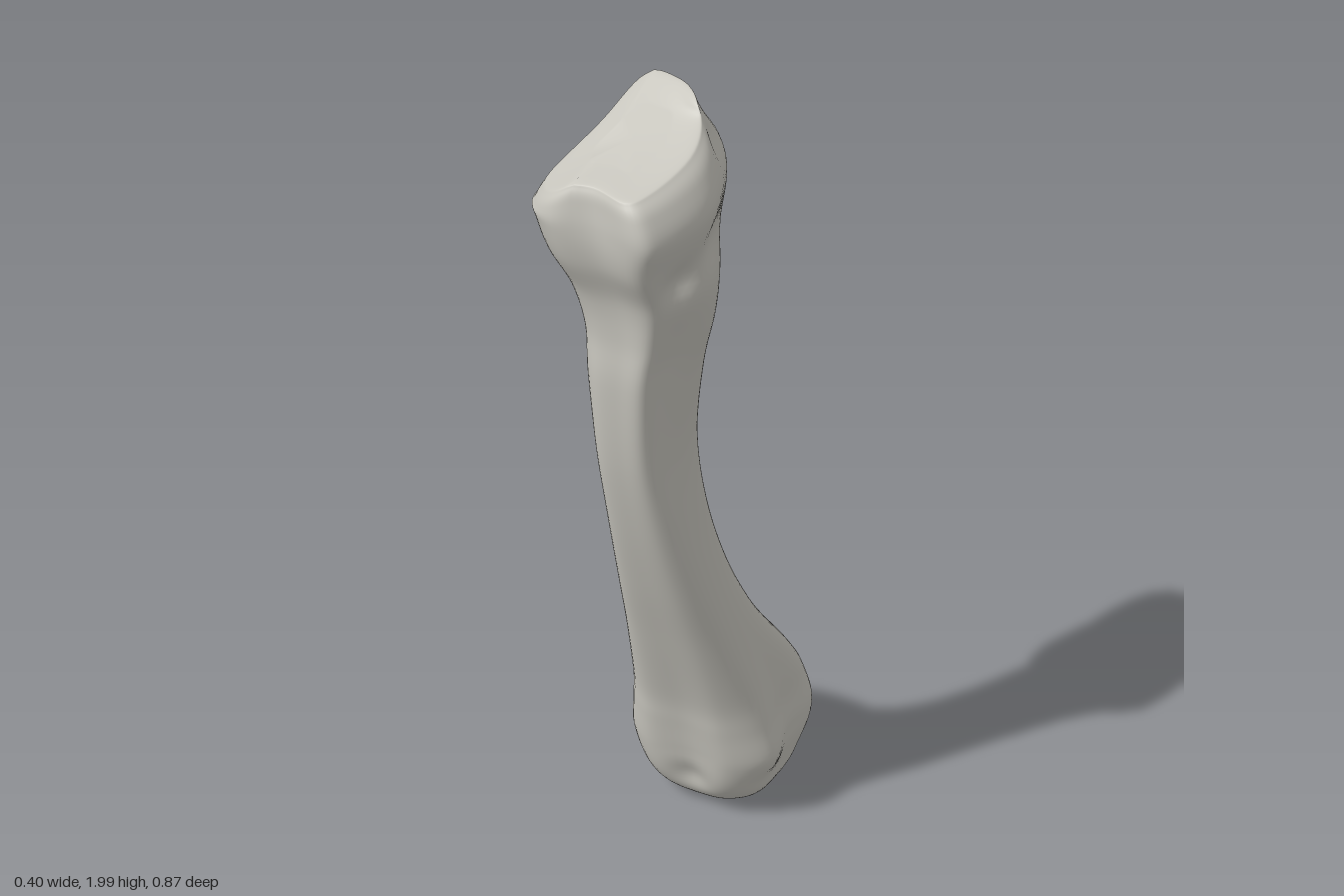
import * as THREE from 'three';

// Cross-section outlines as [x, z], starting at the front and passing the left side
const OUTLINES = [
  // rounded end of the condyle
  [[0, 1], [.5, .92], [.86, .58], [1, 0], [.93, -.5], [.6, -.85], [0, -1], [-.6, -.92], [-.93, -.57], [-1, 0], [-.9, .55], [-.5, .92]],
  // boxy condyle with side tubercles
  [[0, .95], [.55, .98], [1, .62], [.89, .05], [.92, -.52], [.66, -.86], [-.05, -1], [-.68, -.95], [-.98, -.64], [-.93, .05], [-1, .58], [-.58, .98]],
  // middle of the shaft, with a flat front
  [[0, 1], [.57, .92], [.91, .53], [1, -.05], [.87, -.6], [.5, -.89], [0, -1], [-.52, -.92], [-.9, -.55], [-1, 0], [-.92, .6], [-.58, .95]],
  // upper shaft, ridged at the front left
  [[0, .99], [.48, .97], [.7, .5], [.96, -.05], [.92, -.6], [.58, -.93], [.05, -1], [-.5, -.93], [-.86, -.5], [-1, .1], [-.92, .62], [-.55, .95]],
  // head
  [[.05, .88], [.62, 1], [.84, .75], [1, .05], [.84, -.55], [.62, -.94], [.15, -1], [-.45, -.96], [-.7, -.4], [-1, .25], [-.87, .65], [-.48, .92]],
];

// Rows up the bone: y, right x, left x, back z, front z, outline number, slope along z
const ROWS = [
  [0, -.07, .03, -.26, -.19, 0, 0],
  [.015, -.135, .085, -.32, -.14, 0, 0],
  [.05, -.172, .122, -.365, -.1, .2, 0],
  [.11, -.187, .148, -.405, -.065, .6, 0],
  [.2, -.2, .178, -.432, -.04, 1, 0],
  [.3, -.184, .165, -.41, -.015, 1.2, 0],
  [.4, -.167, .154, -.345, .012, 1.5, 0],
  [.6, -.134, .134, -.18, .09, 1.9, 0],
  [.8, -.106, .115, -.06, .17, 2, 0],
  [1, -.087, .102, .02, .24, 2.1, 0],
  [1.2, -.08, .102, .07, .295, 2.5, 0],
  [1.4, -.08, .128, .09, .33, 2.9, 0],
  [1.52, -.083, .157, .095, .338, 3.1, 0],
  [1.62, -.108, .175, .087, .36, 3.5, 0],
  [1.72, -.145, .18, .068, .408, 3.8, -.03],
  [1.82, -.165, .197, .054, .433, 4, -.12],
  [1.9, -.16, .178, .054, .433, 4, -.23],
  [1.936, -.145, .155, .06, .424, 4, -.28],
  [1.945, -.122, .138, .076, .408, 4, -.29],
  [1.945, -.05, .08, .15, .33, 4, -.29],
];

// Local hollows and swellings: centre, push vector, radius
const DENTS = [
  { at: [.18, 1.67, .31], push: [-.025, 0, -.01], r: .045 }, // side pit below the head
  { at: [.19, 1.72, .2], push: [-.012, 0, 0], r: .06 },
  { at: [.11, 1.98, .07], push: [0, 0, .055], r: .06 },      // notch behind the joint face
  { at: [.16, 1.92, .11], push: [-.015, 0, .015], r: .05 },
  { at: [.02, 1.84, .43], push: [0, 0, -.006], r: .06 },     // hollow on the front of the head
  { at: [-.02, .11, -.06], push: [0, 0, -.018], r: .045 },   // hollow above the condyle
  { at: [.15, .13, -.13], push: [-.01, 0, 0], r: .05 },
];

const cubic = (a, b, c, d, t) =>
  b + .5 * t * (c - a + t * (2 * a - 5 * b + 4 * c - d + t * (3 * (b - c) + d - a)));

// Sample a list of number rows as a smooth spline
function sample(list, u, closed) {
  const n = list.length, i = Math.floor(u), t = u - i;
  const get = k => list[closed ? (k + n) % n : Math.min(n - 1, Math.max(0, k))];
  return get(i).map((_, k) => cubic(get(i - 1)[k], get(i)[k], get(i + 1)[k], get(i + 2)[k], t));
}

// Blend two neighbouring outlines and stretch the result to fill -1..1
function outline(kind, count) {
  const k = Math.min(OUTLINES.length - 2, Math.max(0, Math.floor(kind)));
  const f = Math.min(1, Math.max(0, kind - k));
  const pts = [];
  for (let j = 0; j < count; j++) {
    const a = sample(OUTLINES[k], j / count * 12, true);
    const b = sample(OUTLINES[k + 1], j / count * 12, true);
    pts.push([a[0] + (b[0] - a[0]) * f, a[1] + (b[1] - a[1]) * f]);
  }
  for (const c of [0, 1]) {
    const lo = Math.min(...pts.map(p => p[c])), hi = Math.max(...pts.map(p => p[c]));
    pts.forEach(p => { p[c] = (p[c] - lo) / (hi - lo) * 2 - 1; });
  }
  return pts;
}

function boneGeometry() {
  const around = 72, steps = 6, rings = (ROWS.length - 1) * steps + 1;
  const pos = [], index = [];
  const add = (x, y, z) => {
    const p = [x, y, z];
    for (const { at, push, r } of DENTS) {
      const d2 = (x - at[0]) ** 2 + (y - at[1]) ** 2 + (z - at[2]) ** 2;
      const w = Math.exp(-d2 / (r * r));
      push.forEach((v, k) => { p[k] += v * w; });
    }
    pos.push(...p);
  };
  // The joint face sags in the middle and falls away toward the right side
  const drop = (x, y, z) => THREE.MathUtils.smoothstep(y, 1.78, 1.94) *
    (.6 * Math.max(0, -.03 - x) + .014 * Math.max(0, 1 - ((z - .245) / .17) ** 2));

  for (let i = 0; i < rings; i++) {
    const [y, x0, x1, z0, z1, kind, slope] = sample(ROWS, i / steps, false);
    for (const [px, pz] of outline(kind, around)) {
      const x = (x0 + x1) / 2 + px * (x1 - x0) / 2;
      const dz = pz * (z1 - z0) / 2, z = (z0 + z1) / 2 + dz;
      add(x, Math.max(0, y) + slope * dz - drop(x, y, z), z);
    }
  }
  for (let i = 0; i < rings - 1; i++) {
    for (let j = 0; j < around; j++) {
      const a = i * around + j, b = i * around + (j + 1) % around;
      index.push(a, b, b + around, a, b + around, a + around);
    }
  }
  // Close both ends
  const bottom = rings * around, top = bottom + 1, last = (rings - 1) * around;
  add(-.02, 0, -.225);
  add(.015, 1.945 - drop(.015, 1.945, .24), .24);
  for (let j = 0; j < around; j++) {
    const k = (j + 1) % around;
    index.push(bottom, k, j, top, last + j, last + k);
  }

  const geo = new THREE.BufferGeometry();
  geo.setAttribute('position', new THREE.Float32BufferAttribute(pos, 3));
  geo.setIndex(index);
  geo.computeVertexNormals();
  return geo;
}

export function createModel() {
  const model = new THREE.Group();
  model.name = 'longBone';
  const boneGrey = new THREE.MeshStandardMaterial({ color: 0xcac8c0 });
  boneGrey.name = 'bone grey';
  const bone = new THREE.Mesh(boneGeometry(), boneGrey);
  bone.name = 'bone';
  model.add(bone);
  return model;
}
